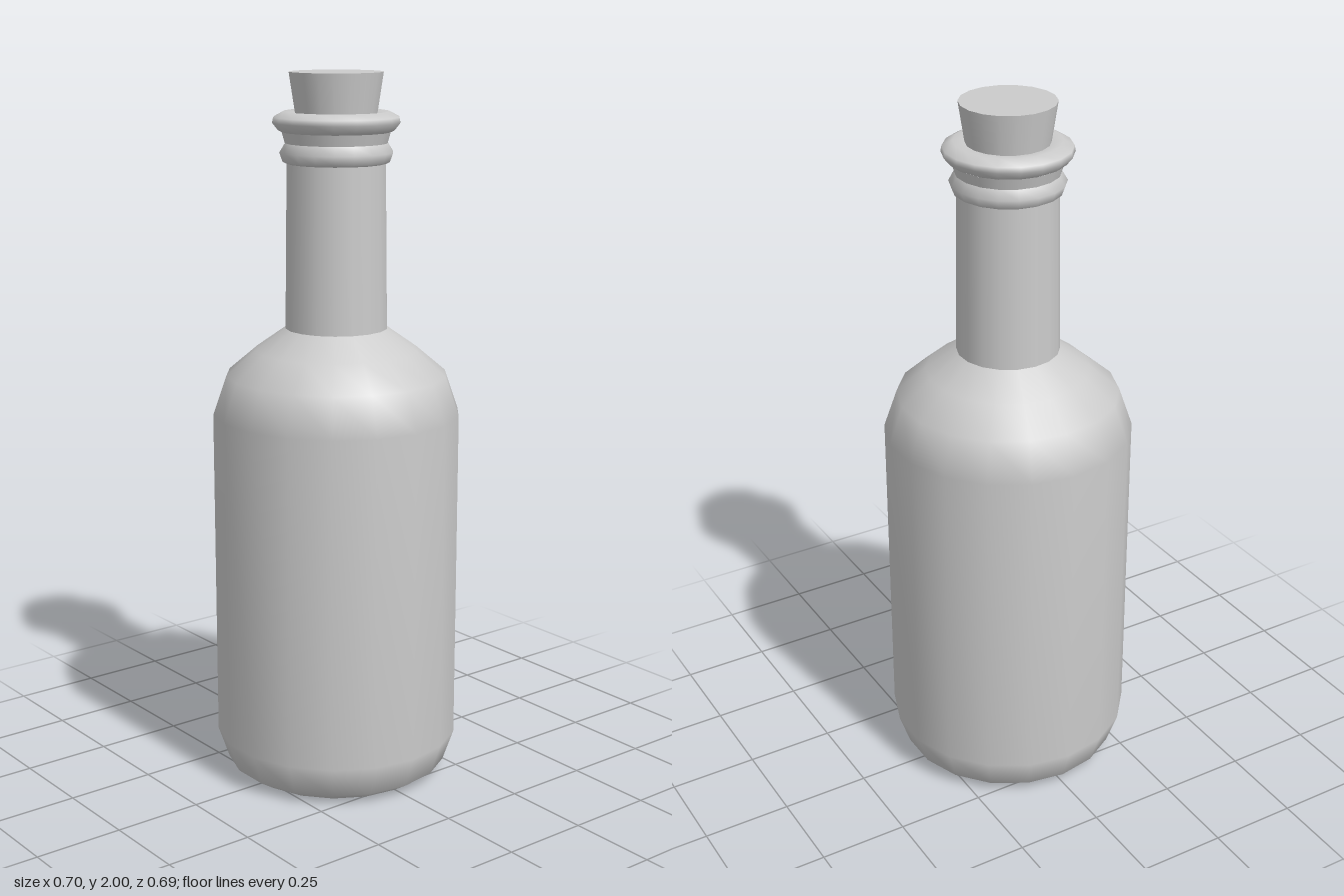
import * as THREE from 'three';

const SIDES = 18;

export function createModel() {
  const bottle = new THREE.Group();
  bottle.name = 'bottle';
  const material = new THREE.MeshStandardMaterial({ color: 0xcccccc });

  const add = (name, geometry) => {
    const mesh = new THREE.Mesh(geometry, material);
    mesh.name = name;
    bottle.add(mesh);
    return mesh;
  };

  // Turned part from [radius, height] pairs listed bottom to top, with a corner on the x axis
  const turn = (name, profile) => add(name, new THREE.LatheGeometry(
    profile.map(([r, y]) => new THREE.Vector2(r, y)), SIDES, Math.PI / 2));

  // Flat underside
  turn('base', [[0, 0], [0.27, 0]]);

  // Rounded heel, straight wall and shoulder
  turn('body', [
    [0.27, 0], [0.317, 0.03], [0.348, 0.12], [0.348, 1.06],
    [0.31, 1.17], [0.228, 1.24], [0.143, 1.3],
  ]);

  // Slightly tapering neck
  turn('neck', [[0.143, 1.3], [0.137, 1.76]]);

  // Small ring around the neck
  turn('neckRing', [[0.137, 1.755], [0.148, 1.76], [0.157, 1.785], [0.142, 1.81]]);

  // Collar between ring and lip
  turn('collar', [[0.14, 1.805], [0.15, 1.84]]);

  // Wider pouring lip, turning inwards to the mouth
  turn('lip', [
    [0.145, 1.838], [0.16, 1.845], [0.176, 1.865], [0.173, 1.88],
    [0.145, 1.895], [0.11, 1.89],
  ]);

  // Tapered cork, pushed a little way into the mouth
  const cork = add('cork', new THREE.CylinderGeometry(0.13, 0.107, 0.15, SIDES, 1, false, Math.PI / 2));
  cork.position.y = 1.925;

  return bottle;
}
